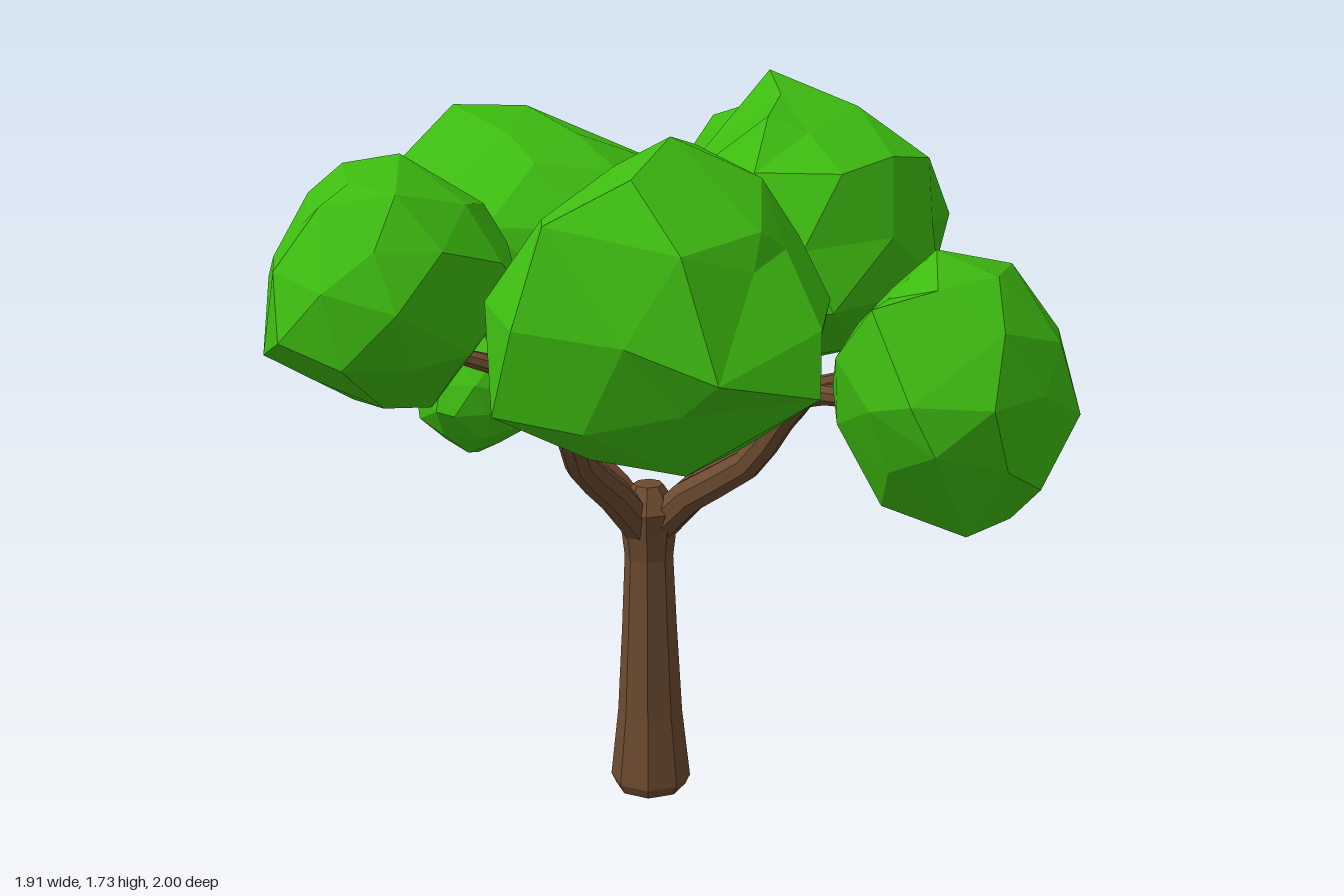
import * as THREE from 'three';
import { mergeVertices } from 'three/addons/utils/BufferGeometryUtils.js';

const bark = new THREE.MeshStandardMaterial({ color: 0x6b4a30, flatShading: true });
const leaf = new THREE.MeshStandardMaterial({ color: 0x3dba10, flatShading: true });

function seeded(seed) {
  let s = seed * 7919 + 17;
  return () => (s = (s * 16807) % 2147483647) / 2147483647;
}

// Tapered tube through rings of [x, y, z, radius], closed at both ends
function limb(name, rings, steps, sides = 8) {
  const curve = new THREE.CatmullRomCurve3(rings.map(([x, y, z]) => new THREE.Vector3(x, y, z)));
  const { normals, binormals } = curve.computeFrenetFrames(steps);
  const pos = [], index = [];
  for (let i = 0; i <= steps; i++) {
    const t = i / steps, k = t * (rings.length - 1), a = Math.min(Math.floor(k), rings.length - 2);
    const r = THREE.MathUtils.lerp(rings[a][3], rings[a + 1][3], k - a);
    const c = curve.getPoint(t);
    for (let j = 0; j < sides; j++) {
      const angle = ((j + 0.5) / sides) * Math.PI * 2;
      const p = c.clone().addScaledVector(normals[i], Math.cos(angle) * r)
        .addScaledVector(binormals[i], Math.sin(angle) * r);
      pos.push(p.x, p.y, p.z);
      if (i < steps) {
        const q = i * sides + j, n = i * sides + (j + 1) % sides;
        index.push(q, n, q + sides, n, n + sides, q + sides);
      }
    }
  }
  for (let j = 1; j < sides - 1; j++) {
    const e = steps * sides;
    index.push(0, j + 1, j, e, e + j, e + j + 1);
  }
  const geo = new THREE.BufferGeometry();
  geo.setAttribute('position', new THREE.Float32BufferAttribute(pos, 3));
  geo.setIndex(index);
  geo.computeVertexNormals();
  const mesh = new THREE.Mesh(geo, bark);
  mesh.name = name;
  return mesh;
}

// Faceted leaf clump: an icosphere whose radius follows a few corner points.
// The vertex nearest each corner moves onto it, the rest blend between corners.
function clump(name, corners, seed) {
  const rand = seeded(seed);
  const points = corners.map((c) => new THREE.Vector3(...c));
  const box = new THREE.Box3().setFromPoints(points);
  const center = box.getCenter(new THREE.Vector3());
  const half = box.getSize(new THREE.Vector3()).multiplyScalar(0.5);
  const local = points.map((p) => p.clone().sub(center).divide(half));
  const dirs = local.map((p) => p.clone().normalize());

  let geo = new THREE.IcosahedronGeometry(1, 1);
  geo.deleteAttribute('normal');
  geo.deleteAttribute('uv');
  geo = mergeVertices(geo, 1e-3);
  geo.rotateX(rand() * 3).rotateY(rand() * 3);
  const p = geo.attributes.position;
  const sphere = Array.from({ length: p.count }, (_, i) => new THREE.Vector3().fromBufferAttribute(p, i));

  const pinned = new Map();
  dirs.forEach((d, k) => {
    let best = -1;
    sphere.forEach((v, i) => {
      if (!pinned.has(i) && (best < 0 || v.dot(d) > sphere[best].dot(d))) best = i;
    });
    pinned.set(best, local[k]);
  });
  sphere.forEach((v, i) => {
    let sum = 0, weight = 0;
    dirs.forEach((d, k) => {
      const w = 1 / (1.03 - v.dot(d)) ** 2;
      sum += w * local[k].length();
      weight += w;
    });
    const free = v.clone().multiplyScalar((sum / weight) * (0.88 + rand() * 0.11));
    const q = (pinned.get(i) ?? free).clone().multiply(half).add(center);
    p.setXYZ(i, q.x, q.y, q.z);
  });
  geo.computeVertexNormals();
  const mesh = new THREE.Mesh(geo, leaf);
  mesh.name = name;
  return mesh;
}

export function createModel() {
  const tree = new THREE.Group();
  tree.name = 'tree';

  // Trunk: bevelled foot, slow taper, flare at the crotch
  tree.add(limb('trunk', [
    [-0.11, 0.0, 0.077, 0.085], [-0.11, 0.025, 0.077, 0.097], [-0.11, 0.2, 0.077, 0.078],
    [-0.11, 0.42, 0.077, 0.066], [-0.11, 0.6, 0.077, 0.058], [-0.11, 0.66, 0.077, 0.065],
    [-0.11, 0.72, 0.077, 0.076], [-0.11, 0.78, 0.077, 0.035],
  ], 7));

  // Branches, each followed by its forks
  const branches = {
    leftBranch: [[-0.11, 0.65, 0.08, 0.045], [-0.2, 0.76, 0.08, 0.042], [-0.31, 0.86, 0.08, 0.035], [-0.38, 0.97, 0.07, 0.03], [-0.48, 1.08, 0, 0.02]],
    leftFork: [[-0.33, 0.88, 0.08, 0.025], [-0.39, 0.95, 0.14, 0.022], [-0.42, 1.02, 0.3, 0.016]],
    frontBranch: [[-0.11, 0.65, 0.08, 0.045], [-0.15, 0.78, 0.18, 0.042], [-0.165, 0.89, 0.31, 0.036], [-0.145, 1.02, 0.39, 0.032], [-0.125, 1.14, 0.45, 0.034]],
    frontLeftFork: [[-0.125, 1.12, 0.44, 0.03], [-0.2, 1.16, 0.53, 0.024], [-0.32, 1.21, 0.62, 0.016]],
    frontRightFork: [[-0.125, 1.12, 0.44, 0.03], [-0.03, 1.16, 0.5, 0.024], [0.12, 1.2, 0.57, 0.016]],
    rightBranch: [[-0.11, 0.65, 0.08, 0.045], [-0.01, 0.76, 0.07, 0.042], [0.14, 0.86, 0.07, 0.037], [0.22, 0.97, 0.07, 0.033], [0.29, 1.06, 0.08, 0.032]],
    rightFork: [[0.27, 1.04, 0.08, 0.03], [0.36, 1.07, 0.13, 0.024], [0.56, 1.09, 0.22, 0.016]],
    crownFork: [[0.27, 1.03, 0.08, 0.03], [0.29, 1.1, 0.06, 0.025], [0.26, 1.25, 0.02, 0.016]],
    backBranch: [[-0.11, 0.65, 0.08, 0.045], [-0.01, 0.77, -0.03, 0.04], [0.1, 0.87, -0.16, 0.034], [0.15, 0.96, -0.29, 0.033]],
    backFork: [[0.15, 0.95, -0.28, 0.03], [0.07, 1.02, -0.4, 0.023], [-0.03, 1.11, -0.55, 0.018], [-0.08, 1.2, -0.65, 0.014]],
    backRightFork: [[0.14, 0.95, -0.27, 0.028], [0.25, 0.98, -0.33, 0.022], [0.42, 1.04, -0.37, 0.016]],
  };
  for (const [name, path] of Object.entries(branches)) tree.add(limb(name, path, (path.length - 1) * 2));

  // Foliage: the outermost corners of each clump
  const foliage = {
    leftFoliage: [[-0.96, 0.99, 0.01], [-0.935, 1.41, -0.2], [-0.8, 1.59, -0.22], [-0.57, 1.55, -0.1], [-0.92, 1.2, -0.25],
      [-0.64, 0.845, -0.33], [-0.39, 0.9, -0.2], [-0.72, 1.2, -0.55], [-0.49, 0.95, -0.52], [-0.3, 1.45, -0.4],
      [-0.14, 1.25, -0.3], [-0.25, 1.2, 0.1], [-0.67, 1.2, 0.21], [-0.6, 0.9, 0.05]],
    backFoliage: [[-0.1, 1.6, -0.745], [-0.1, 1.42, -0.945], [0, 1.175, -1], [-0.32, 1.25, -0.94], [0.21, 1.3, -0.83],
      [0.18, 1.3, -0.62], [0, 1.3, -0.41], [-0.31, 1.3, -0.52], [-0.435, 1.3, -0.645], [-0.1, 1.03, -0.63], [-0.15, 1.08, -0.9]],
    crownFoliage: [[0.08, 1.73, -0.18], [0.2, 1.67, 0.1], [0.5, 1.57, -0.1], [-0.03, 1.48, -0.24], [-0.14, 1.27, 0.03],
      [0.13, 1.35, -0.36], [0.47, 1.4, -0.34], [0.55, 1.3, -0.05], [0.44, 1.3, 0.3], [0.07, 1.4, 0.33],
      [0.2, 1.09, 0], [0, 1.17, -0.15], [0.35, 1.15, -0.2], [0, 1.57, 0]],
    frontRightFoliage: [[0.24, 1.71, 0.66], [0, 1.57, 0.6], [-0.06, 1.4, 0.87], [-0.01, 1.19, 0.94], [0.14, 1.09, 0.82],
      [0.36, 1.075, 0.56], [0.595, 1.25, 0.745], [0.46, 1.3, 0.91], [0.42, 1.42, 0.45], [0.24, 1.45, 0.32],
      [-0.02, 1.3, 0.55], [0.1, 1.57, 0.92], [0.5, 1.2, 0.58], [0.45, 1.55, 0.7]],
    frontLeftFoliage: [[-0.65, 1.37, 0.765], [-0.53, 1.6, 0.65], [-0.42, 1.62, 0.6], [-0.25, 1.52, 0.55], [-0.145, 1.36, 0.59],
      [-0.17, 1.25, 0.75], [-0.3, 1.11, 0.7], [-0.56, 1.18, 0.75], [-0.46, 1.3, 1], [-0.55, 1.25, 0.93],
      [-0.58, 1.4, 0.44], [-0.37, 1.35, 0.43], [-0.45, 1.55, 0.85]],
    rightFoliage: [[0.665, 1.46, 0.31], [0.775, 1.41, 0.15], [0.915, 1.28, 0.25], [0.95, 1.12, 0.2], [0.92, 1, 0.36],
      [0.78, 0.89, 0.4], [0.545, 0.92, 0.3], [0.44, 1.12, 0.26], [0.57, 1.37, 0.3], [0.795, 1.2, 0],
      [0.56, 1.15, 0.05], [0.71, 1.2, 0.565], [0.6, 1.37, 0.5], [0.5, 1.1, 0.42], [0.7, 0.95, 0.15]],
    smallFrontFoliage: [[-0.55, 1.05, 0.32], [-0.4, 1.17, 0.33], [-0.26, 1.08, 0.36], [-0.42, 1.03, 0.5], [-0.4, 1.05, 0.21], [-0.4, 0.9, 0.36]],
    smallBackFoliage: [[0.28, 1.05, -0.4], [0.4, 1.22, -0.38], [0.58, 1.08, -0.36], [0.34, 1.1, -0.52], [0.43, 1, -0.52],
      [0.5, 1.05, -0.26], [0.4, 0.91, -0.4]],
  };
  Object.entries(foliage).forEach(([name, corners], i) => tree.add(clump(name, corners, i + 3)));
  return tree;
}
